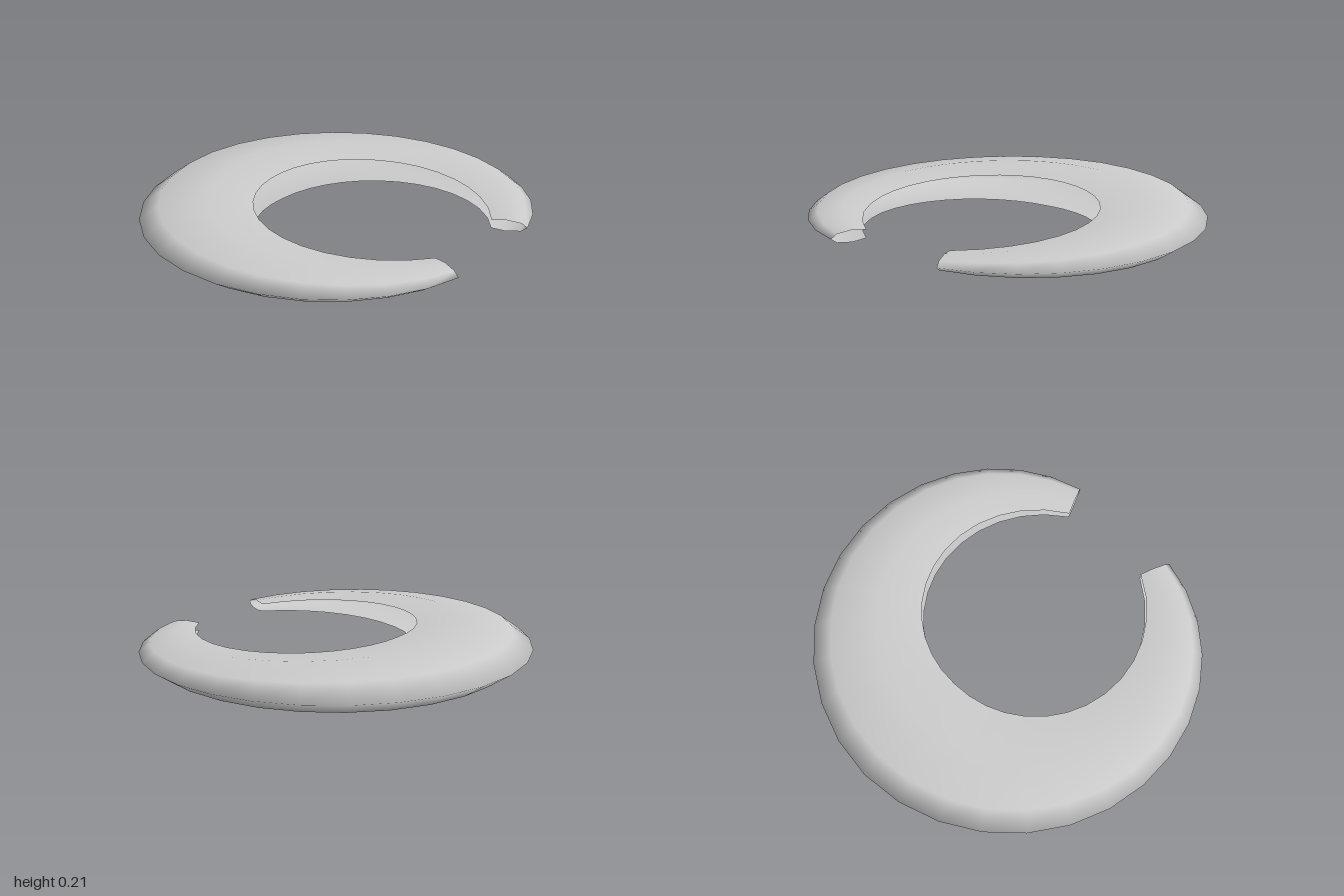
import * as THREE from 'three';

const STATIONS = 28;               // segments along the ring
const SIDES = 6;                   // segments round the open section
const SWEEP = THREE.MathUtils.degToRad(157.8); // half sweep, measured from the back
const RING = 0.74, CENTRE_Z = 0.16;
const FLAT = 0.29;                 // section height / width

// Half width of the section: full at the back, tapering to both tips
const halfWidth = t => 0.1 + 0.26 * (1 - Math.pow(Math.abs(t), 1.6));

// Hollow crescent shell, open along its inner edge and at both tips
function crescentShell() {
  const positions = [], index = [];
  const row = SIDES + 1;
  for (let i = 0; i <= STATIONS; i++) {
    const t = (i / STATIONS) * 2 - 1;
    const angle = t * SWEEP, w = halfWidth(t);
    for (let j = 0; j <= SIDES; j++) {
      const phi = (j / SIDES - 0.5) * Math.PI * 1.5;
      const radius = RING + w * Math.cos(phi);
      positions.push(
        radius * Math.sin(angle),
        FLAT * (halfWidth(0) + w * Math.sin(phi)),
        CENTRE_Z - radius * Math.cos(angle)
      );
      if (i < STATIONS && j < SIDES) {
        const a = i * row + j, b = a + row;
        index.push(a, a + 1, b, a + 1, b + 1, b);
      }
    }
  }
  const geometry = new THREE.BufferGeometry();
  geometry.setAttribute('position', new THREE.Float32BufferAttribute(positions, 3));
  geometry.setIndex(index);
  geometry.computeVertexNormals();
  return geometry;
}

export function createModel() {
  const group = new THREE.Group();
  const material = new THREE.MeshStandardMaterial({ color: 0xcccccc, side: THREE.DoubleSide });
  const shell = new THREE.Mesh(crescentShell(), material);
  shell.name = 'crescentRing';
  group.add(shell);
  return group;
}
